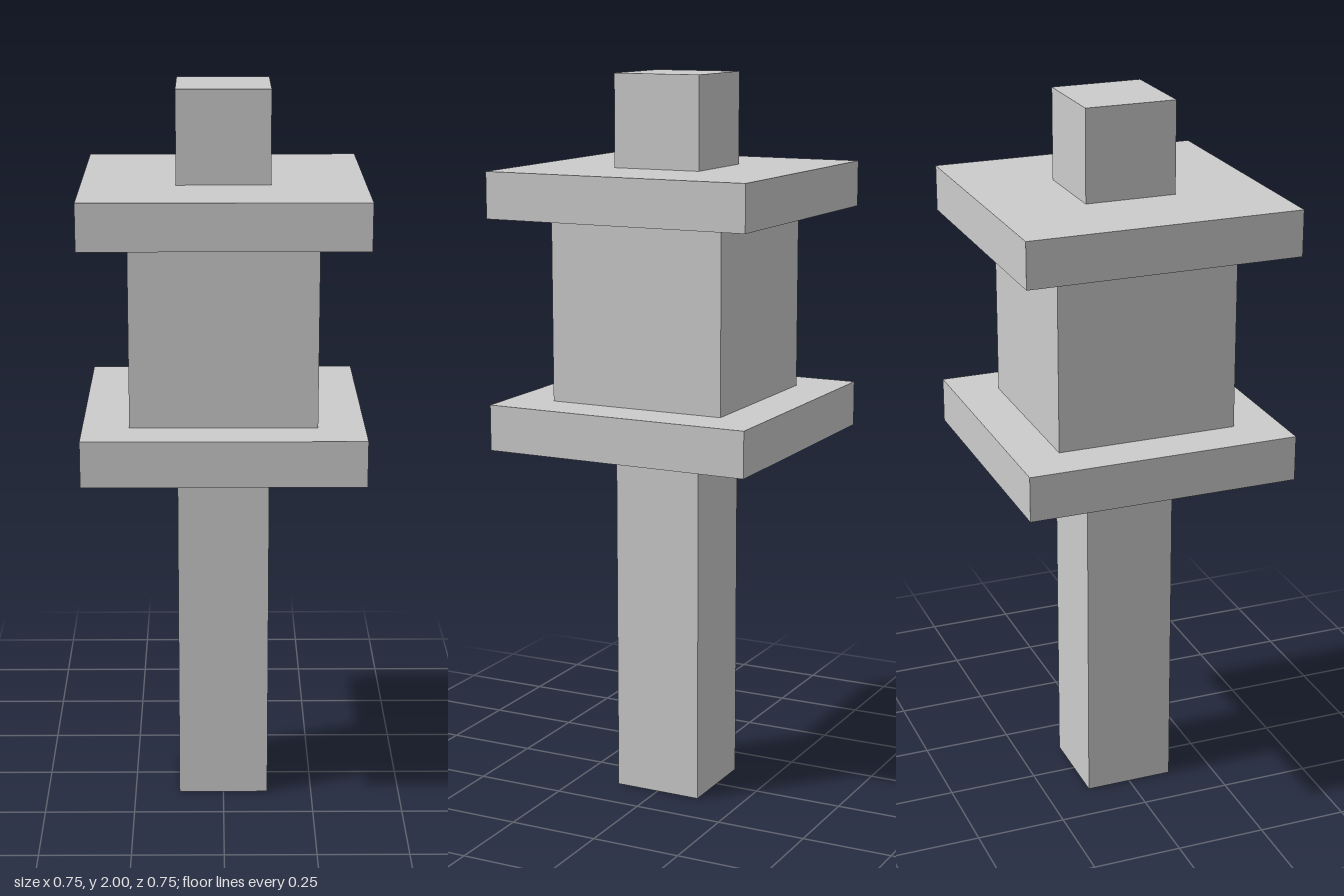
import * as THREE from 'three';

// Stacked square blocks, bottom to top: name, width, height
const BLOCKS = [
  ['post', 0.25, 1],
  ['lowerPlate', 0.75, 0.125],
  ['lanternBody', 0.5, 0.5],
  ['upperPlate', 0.75, 0.125],
  ['topCap', 0.25, 0.25],
];

export function createModel() {
  const model = new THREE.Group();
  model.name = 'lanternPost';
  const material = new THREE.MeshStandardMaterial({ color: 0xcccccc, flatShading: true });

  // Each block rests on the one below
  let base = 0;
  for (const [name, width, height] of BLOCKS) {
    const block = new THREE.Mesh(new THREE.BoxGeometry(width, height, width), material);
    block.name = name;
    block.position.y = base + height / 2;
    model.add(block);
    base += height;
  }
  return model;
}
